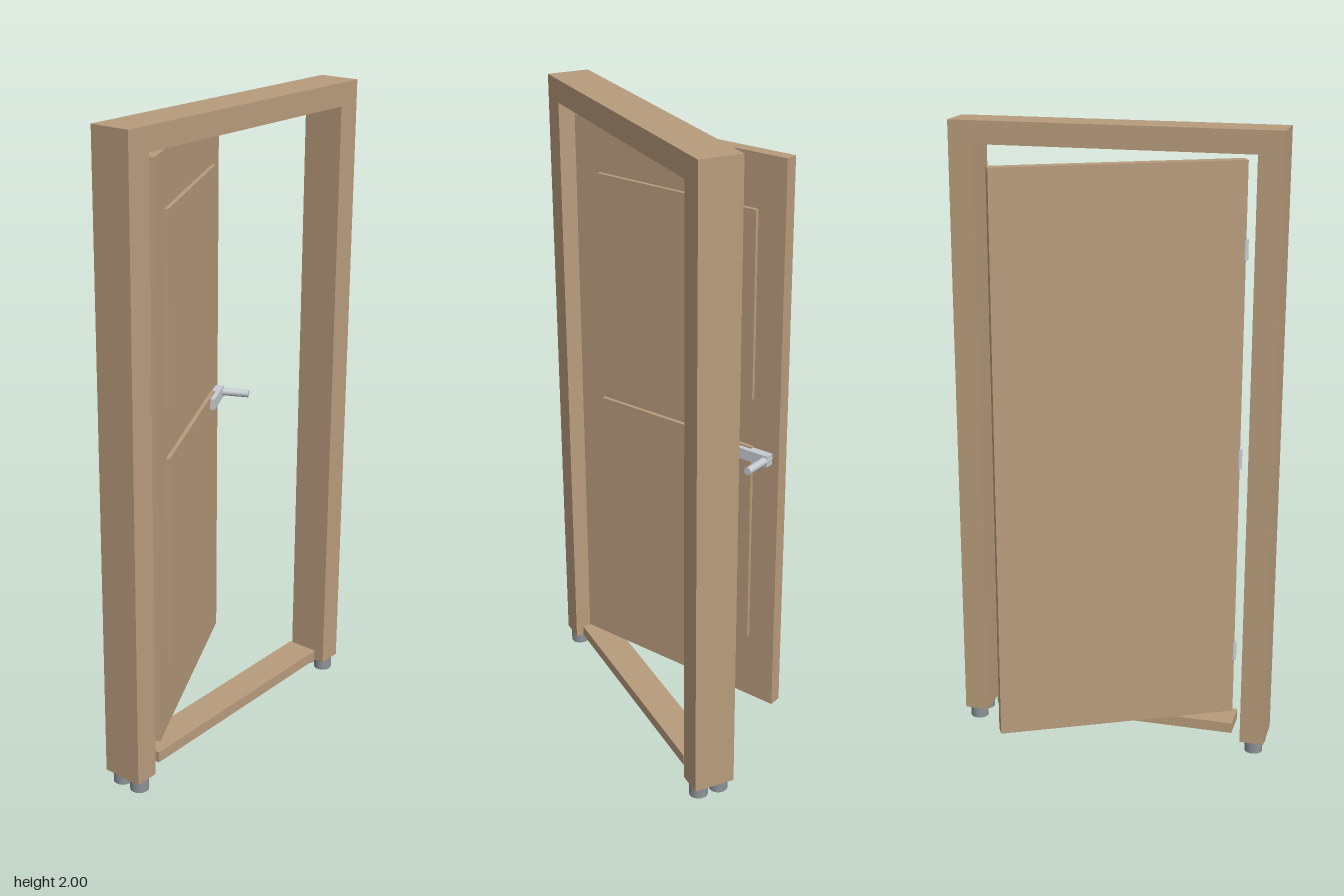
import * as THREE from 'three';

export function createModel() {
  const material = (name, color) => {
    const m = new THREE.MeshStandardMaterial({ color });
    m.name = name;
    return m;
  };
  const wood = material('wood', 0xb89c7c);
  const metal = material('brushed metal', 0xc4cad0);
  const footMetal = material('foot metal', 0x8c9298);

  const add = (parent, name, geometry, mat, x = 0, y = 0, z = 0) => {
    const mesh = new THREE.Mesh(geometry, mat);
    mesh.name = name;
    mesh.position.set(x, y, z);
    parent.add(mesh);
    return mesh;
  };
  // Box given by its limits on each axis
  const box = (parent, name, mat, [x0, x1], [y0, y1], [z0, z1]) =>
    add(parent, name, new THREE.BoxGeometry(x1 - x0, y1 - y0, z1 - z0), mat,
      (x0 + x1) / 2, (y0 + y1) / 2, (z0 + z1) / 2);

  const model = new THREE.Group();
  model.name = 'openDoor';

  // Frame: two posts and a lintel in one outline
  const outer = 0.508, inner = 0.43;
  const outline = new THREE.Shape([
    [-outer, 0.04], [-inner, 0.04], [-inner, 1.93], [inner, 1.93],
    [inner, 0.04], [outer, 0.04], [outer, 2], [-outer, 2],
  ].map(([x, y]) => new THREE.Vector2(x, y)));
  add(model, 'frame', new THREE.ExtrudeGeometry(outline, { depth: 0.13, bevelEnabled: false }),
    wood, 0, 0, 0.07);
  box(model, 'sill', wood, [-0.4, 0.4], [0.06, 0.095], [0.085, 0.187]);

  // Feet, two under each post
  for (const x of [-0.471, 0.471])
    for (const z of [0.104, 0.171])
      add(model, 'foot', new THREE.CylinderGeometry(0.029, 0.029, 0.04, 20), footMetal, x, 0.02, z);

  // Hinges
  for (const y of [0.33, 0.985, 1.64])
    add(model, 'hinge', new THREE.CylinderGeometry(0.009, 0.009, 0.062, 16), metal, -0.39, y, 0.142);

  // Door leaf, swung open to the back around its hinge edge
  const door = new THREE.Group();
  door.name = 'door';
  door.position.set(-0.393, 0, 0.135);
  door.rotation.y = THREE.MathUtils.degToRad(26.5);
  model.add(door);
  box(door, 'doorLeaf', wood, [0, 0.763], [0.115, 1.905], [0, 0.04]);
  for (const span of [[0.34, 1.01], [1.165, 1.745]])
    box(door, 'raisedPanel', wood, [0.092, 0.671], span, [0.04, 0.052]);

  // Handle: flat plate and a round grip standing out from it
  box(door, 'handlePlate', metal, [0.607, 0.74], [0.97, 1.005], [0.04, 0.067]);
  const grip = add(door, 'handleGrip', new THREE.CylinderGeometry(0.012, 0.012, 0.111, 20),
    metal, 0.729, 0.988, 0.0955);
  grip.rotation.x = Math.PI / 2;

  return model;
}
